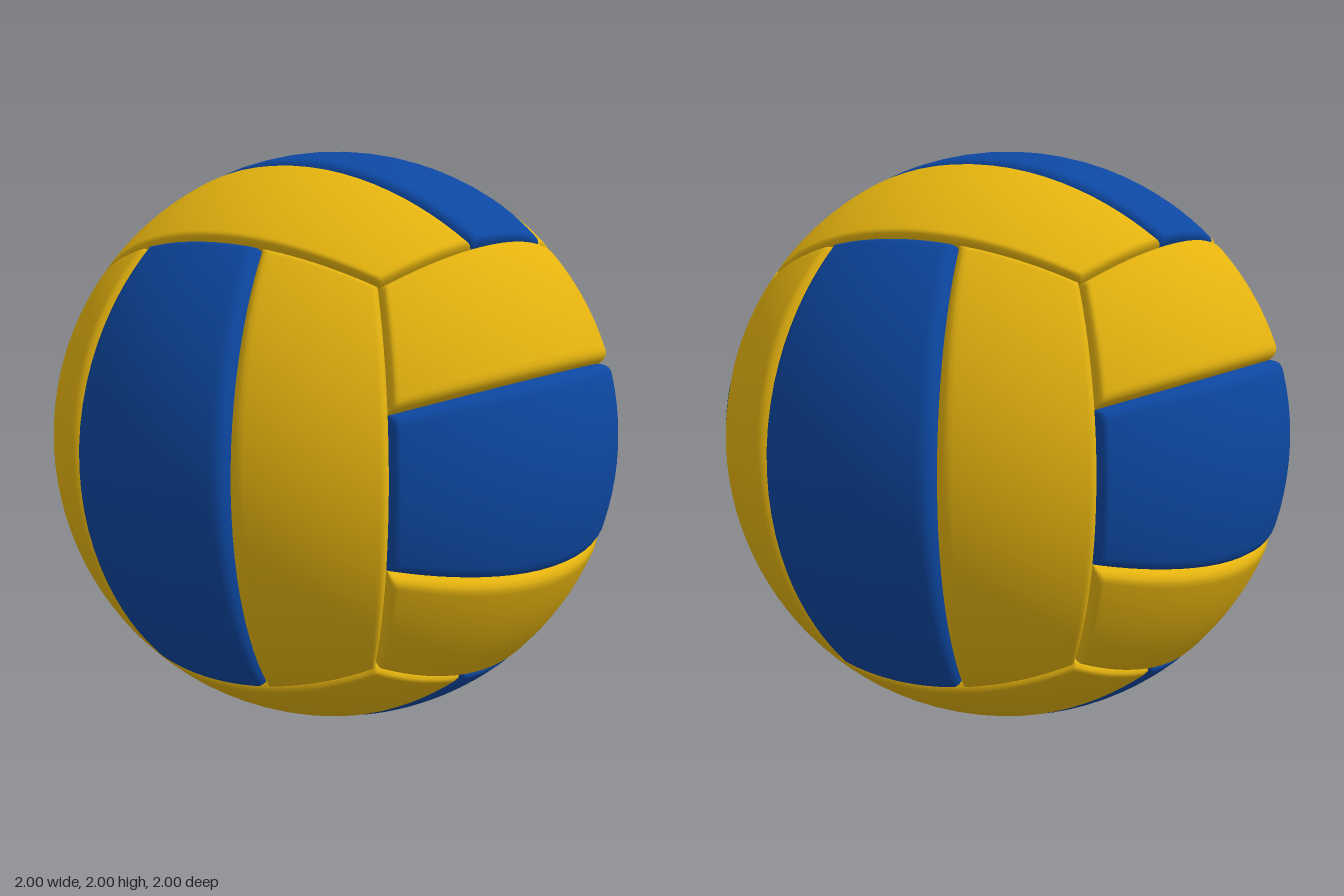
import * as THREE from 'three';

const BEVEL = 0.06;   // width of the rounded border of a panel
const DEPTH = 0.035;  // depth of the seams

// Stops from a to b, packed closely near both ends for the rounded border
function stops(a, b, n) {
  const border = [0, 0.006, 0.014, 0.026, 0.042];
  const list = border.map(d => a + d);
  for (let i = 0; i <= n; i++) list.push(a + BEVEL + (b - a - 2 * BEVEL) * i / n);
  return list.concat(border.map(d => b - d).reverse());
}

// One padded panel: a strip of a cube face projected onto the sphere.
// across x strip directions: along x across = normal
function panelGeometry(normal, along, across, v0, v1) {
  const us = stops(-1, 1, 26), vs = stops(v0, v1, 10);
  const positions = [], index = [];
  for (const v of vs) {
    for (const u of us) {
      const d = Math.min(1 - Math.abs(u), v - v0, v1 - v);
      const r = 1 - DEPTH * Math.pow(1 - Math.min(Math.max(d, 0) / BEVEL, 1), 3.5);
      const p = normal.clone().addScaledVector(along, u).addScaledVector(across, v).setLength(r);
      positions.push(p.x, p.y, p.z);
    }
  }
  const w = us.length;
  for (let j = 0; j < vs.length - 1; j++) {
    for (let i = 0; i < w - 1; i++) {
      const a = j * w + i, b = a + 1, c = a + w, e = c + 1;
      index.push(a, b, e, a, e, c);
    }
  }
  const geometry = new THREE.BufferGeometry();
  geometry.setAttribute('position', new THREE.Float32BufferAttribute(positions, 3));
  geometry.setIndex(index);
  geometry.computeVertexNormals();
  return geometry;
}

export function createModel() {
  const yellow = new THREE.MeshStandardMaterial({ color: 0xe6b40f });
  yellow.name = 'yellow leather';
  const blue = new THREE.MeshStandardMaterial({ color: 0x0d47a1 });
  blue.name = 'blue leather';

  const ball = new THREE.Group();
  ball.name = 'volleyball';
  ball.position.y = 1;

  const X = new THREE.Vector3(1, 0, 0), Y = new THREE.Vector3(0, 1, 0), Z = new THREE.Vector3(0, 0, 1);
  // Six sides of three strips; strips of neighbouring sides run crosswise
  const sides = [
    ['front', 'back', Z, X, Y],
    ['left', 'right', X, Y, Z],
    ['top', 'bottom', Y, Z, X],
  ];
  for (const [plus, minus, normal, along, across] of sides) {
    for (const sign of [1, -1]) {
      const side = new THREE.Group();
      side.name = (sign > 0 ? plus : minus) + 'Side';
      for (let k = -1; k <= 1; k++) {
        const geometry = panelGeometry(
          normal.clone().multiplyScalar(sign), along.clone().multiplyScalar(sign), across,
          (2 * k - 1) / 3, (2 * k + 1) / 3);
        const panel = new THREE.Mesh(geometry, k === 0 ? blue : yellow);
        panel.name = k === 0 ? 'middlePanel' : 'outerPanel';
        side.add(panel);
      }
      ball.add(side);
    }
  }

  const model = new THREE.Group();
  model.name = 'ball';
  model.add(ball);
  return model;
}
